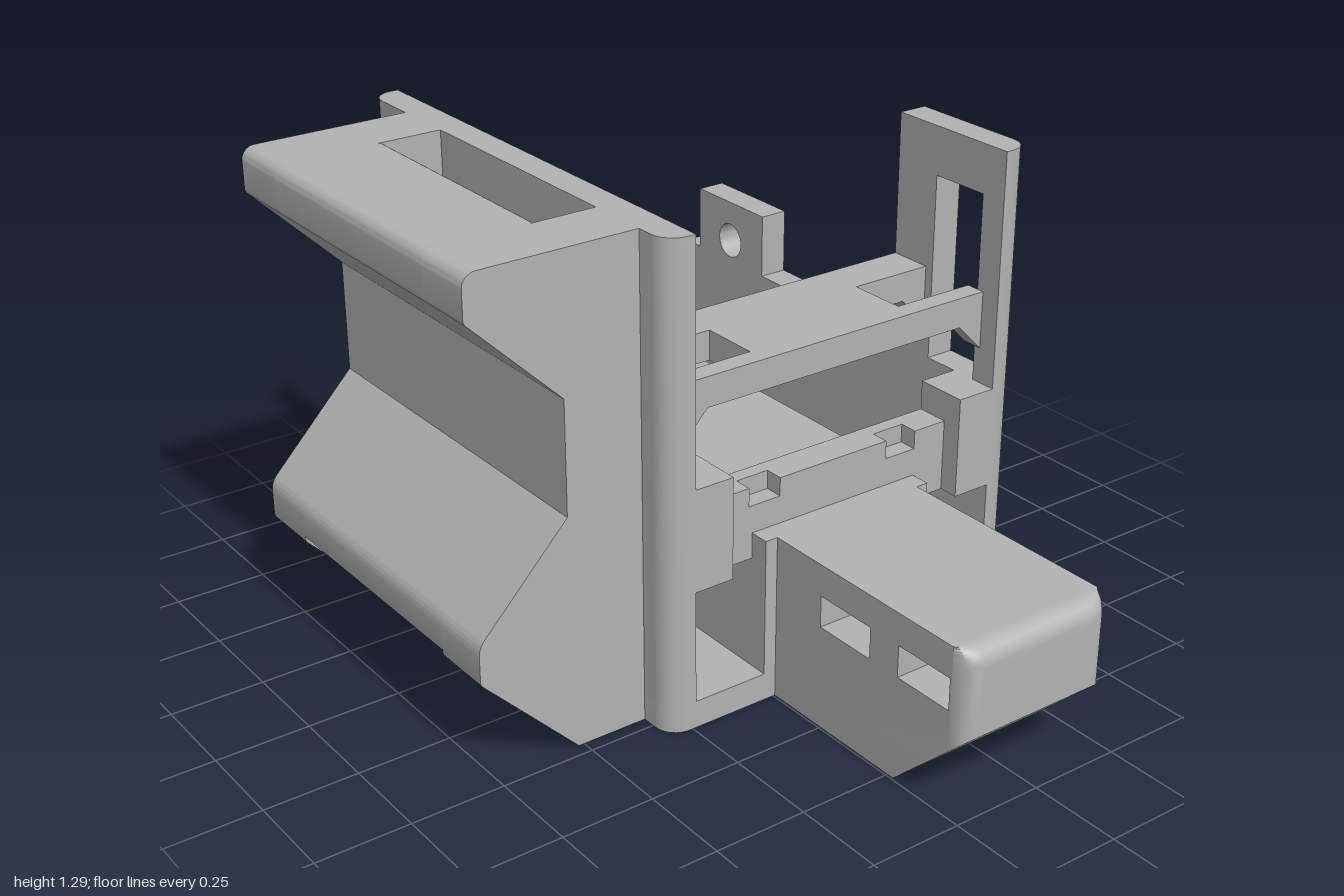
import * as THREE from 'three';
import { toCreasedNormals } from 'three/addons/utils/BufferGeometryUtils.js';

const grey = new THREE.MeshStandardMaterial({ color: 0xb2b2b2 });
grey.name = 'plain grey';

export function createModel() {
  const model = new THREE.Group();
  model.name = 'mountingHousing';

  const add = (name, geometry) => {
    const mesh = new THREE.Mesh(geometry, grey);
    mesh.name = name;
    model.add(mesh);
    return mesh;
  };
  const box = (name, x0, x1, y0, y1, z0, z1) =>
    add(name, new THREE.BoxGeometry(x1 - x0, y1 - y0, z1 - z0)
      .translate((x0 + x1) / 2, (y0 + y1) / 2, (z0 + z1) / 2));

  // Closed outline; each point is [a, b, optional corner radius]
  const outline = (points) => {
    const out = [];
    points.forEach(([a, b, r], i) => {
      const p = new THREE.Vector2(a, b);
      if (!r) { out.push(p); return; }
      const n = points.length;
      const prev = new THREE.Vector2(...points[(i + n - 1) % n].slice(0, 2));
      const next = new THREE.Vector2(...points[(i + 1) % n].slice(0, 2));
      const d0 = prev.sub(p).normalize(), d1 = next.sub(p).normalize();
      const half = Math.acos(d0.dot(d1)) / 2;
      const t = r / Math.tan(half);
      const centre = p.clone().add(d0.clone().add(d1).normalize().multiplyScalar(r / Math.sin(half)));
      const s = p.clone().addScaledVector(d0, t).sub(centre);
      const e = p.clone().addScaledVector(d1, t).sub(centre);
      const sweep = Math.atan2(s.cross(e), s.dot(e));
      for (let k = 0; k <= 8; k++) {
        out.push(s.clone().rotateAround(new THREE.Vector2(), sweep * k / 8).add(centre));
      }
    });
    return new THREE.Shape(out);
  };
  const circle = (x, y, r) => new THREE.Path().absarc(x, y, r, 0, Math.PI * 2, true);
  const extrude = (shape, depth, steps = 1) =>
    new THREE.ExtrudeGeometry(shape, { depth, steps, bevelEnabled: false, curveSegments: 24 });
  const smooth = (g) => toCreasedNormals(g, 0.6);

  // Plan outline [x, z, r] raised from y0 to y1
  const slab = (name, points, y0, y1, hole) => {
    const shape = outline(points.map(([x, z, r]) => [x, -z, r]));
    if (hole) shape.holes.push(hole);
    return add(name, smooth(extrude(shape, y1 - y0).rotateX(-Math.PI / 2).translate(0, y0, 0)));
  };
  // Side outline [z, y, r] spread from x0 to x1
  const across = (name, points, x0, x1) =>
    add(name, smooth(extrude(outline(points), x1 - x0).rotateY(-Math.PI / 2).translate(x1, 0, 0)));

  const R = 0.06;

  // Floor and upright walls
  slab('floor', [[-1, 0.32, R], [0.32, 0.32, R], [0.32, -0.78, R], [-1, -0.78, R]], 0, 0.075);
  slab('frontWall', [[-1, 0.32, R], [0.32, 0.32, R], [0.32, 0.24], [-1, 0.24]], 0.075, 1.29);
  slab('backWall', [[-1, -0.7], [0.32, -0.7], [0.32, -0.78, R], [-1, -0.78, R]], 0.075, 0.655);

  // Tall back post with a window
  slab('backPostOuterStile', [[0.245, -0.7], [0.32, -0.7], [0.32, -0.78, R], [0.245, -0.78]], 0.655, 1.29);
  box('backPostInnerStile', -0.07, 0.075, 0.655, 1.29, -0.78, -0.7);
  box('backPostTopRail', 0.075, 0.245, 1.16, 1.29, -0.78, -0.7);

  // Drilled tab on the back wall; its hole dips slightly below the wall top
  const tab = outline([[-0.93, 0.655], [-0.635, 0.655], [-0.635, 0.835], [-0.93, 0.835]]);
  tab.holes.push(circle(-0.785, 0.718, 0.05));
  add('backTab', smooth(extrude(tab, 0.08).translate(0, 0, -0.78)));

  // Central block and drilled end block
  box('centreBlock', -0.705, 0.32, 0.075, 0.45, -0.49, 0.03);
  slab('drilledBlock', [[-1, 0.03], [-0.705, 0.03], [-0.705, -0.49], [-1, -0.49]],
    0.075, 0.575, circle(-0.9, 0.23, 0.055));

  // Cross plate with two small notches, and the corner brackets beside it
  box('crossPlate', 0.175, 0.215, 0.38, 0.575, -0.59, 0.13);
  across('notchedFace', [
    [-0.59, 0.38], [0.13, 0.38], [0.13, 0.575],
    [0.04, 0.575], [0.04, 0.525], [-0.055, 0.525], [-0.055, 0.575],
    [-0.395, 0.575], [-0.395, 0.525], [-0.49, 0.525], [-0.49, 0.575], [-0.59, 0.575],
  ], 0.215, 0.265);
  box('frontBracket', 0.175, 0.32, 0.38, 0.655, 0.13, 0.24);
  box('backBracket', 0.175, 0.32, 0.38, 0.655, -0.7, -0.59);

  // Upper bridge, chamfered under both ends and notched in plan
  const bridge = [[-0.7, 0.75], [-0.625, 0.825], [0.165, 0.825], [0.24, 0.75], [0.24, 0.905], [-0.7, 0.905]];
  across('bridgeInnerStrip', bridge, -0.07, 0.05);
  across('bridgeOuterStrip', bridge, 0.21, 0.265);
  box('bridgeCentre', 0.05, 0.21, 0.825, 0.905, -0.465, 0);

  // Front grip: two full cheeks joined by a shell with a slot behind it
  const waist = [[0.78, 1.29, 0.035], [0.78, 1.175, 0.02], [0.53, 0.93], [0.53, 0.63], [0.78, 0.37, 0.06]];
  const cheek = [[0.32, 1.29], [0.32, 0], [0.515, 0], [0.78, 0.27, 0.02], ...waist.slice().reverse()];
  across('gripCheekRight', cheek, -0.82, -0.645);
  across('gripCheekLeft', cheek, 0.045, 0.215);
  across('gripShell', [[0.47, 1.29, 0.03], [0.47, 0.27, 0.02], [0.78, 0.27, 0.02],
    ...waist.slice().reverse()], -0.645, 0.045);

  // Side arm with two through windows; its free end is rounded
  const arm = outline([[0.32, 0], [0.77, 0], [1, 0.22], [1, 0.45, 0.05], [0.32, 0.45]]);
  [[0.49, 0.67], [0.77, 0.944]].forEach(([a, b]) => {
    arm.holes.push(new THREE.Path([[a, 0.28], [a, 0.365], [b, 0.365], [b, 0.28]]
      .map((p) => new THREE.Vector2(...p))));
  });
  const width = 0.45, r = 0.05;
  const armGeometry = extrude(arm, width, 45);
  const pos = armGeometry.attributes.position;
  for (let i = 0; i < pos.count; i++) {
    const x = pos.getX(i), y = pos.getY(i), z = pos.getZ(i);
    const edge = Math.max(0, r - Math.min(z, width - z));
    const inset = r - Math.sqrt(Math.max(0, r * r - edge * edge));
    if (x > 0.95) {
      const shift = inset * (x - 0.95) / r;
      pos.setX(i, x - shift);
      if (y < 0.25) pos.setY(i, y - shift * 0.957);
    }
  }
  add('sideArm', smooth(armGeometry.translate(0, 0, -0.455)));

  return model;
}
